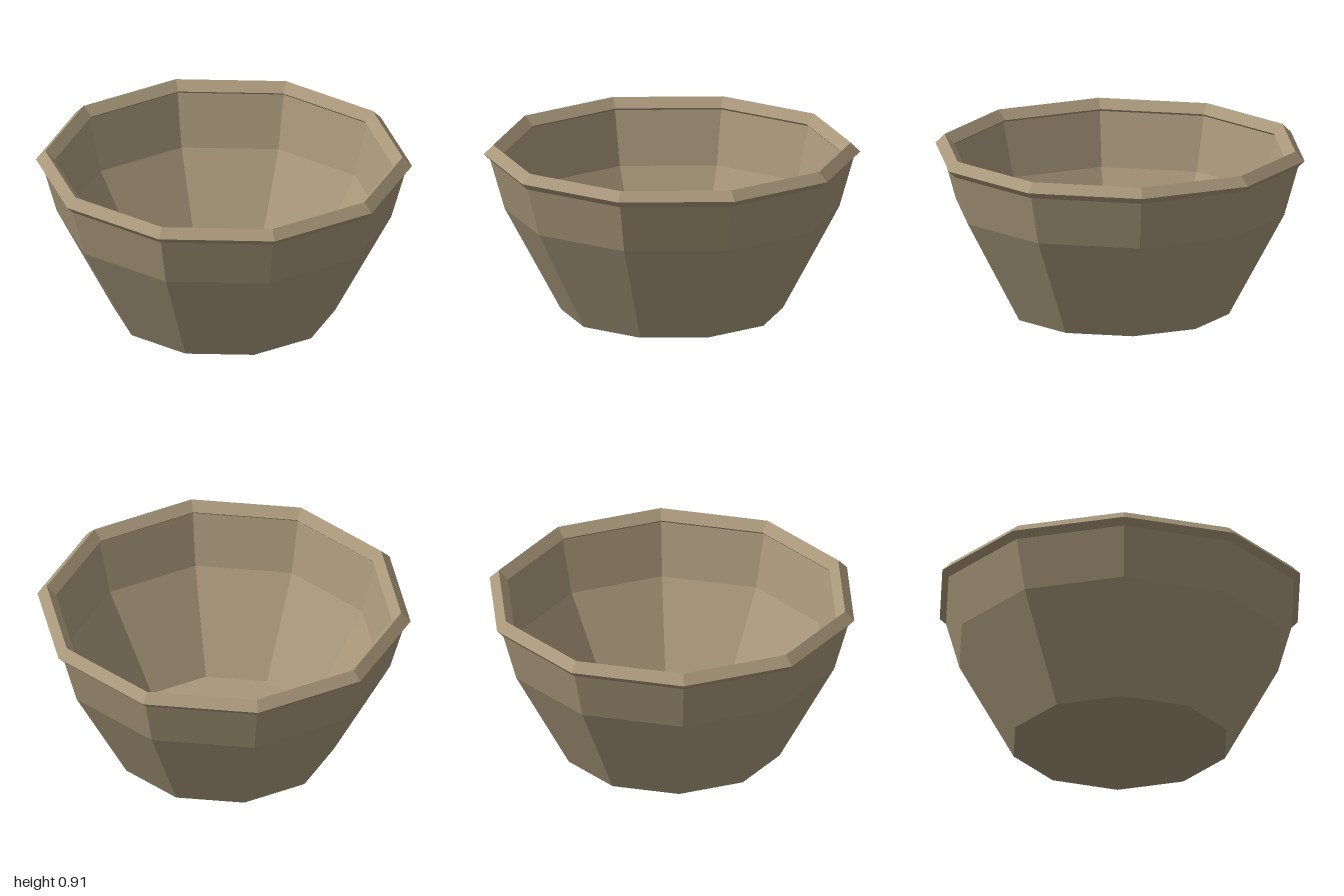
import * as THREE from 'three';

const SIDES = 10;

export function createModel() {
  const group = new THREE.Group();
  group.name = 'bowl';

  const clay = new THREE.MeshStandardMaterial({ color: 0xa8977a, flatShading: true });
  clay.name = 'clay';

  // Hollow wall: up the outside, over the lip, down the inside to the floor
  const profile = [
    [0, 0], [0.59, 0], [0.89, 0.56], [0.975, 0.86],
    [0.915, 0.86], [0.835, 0.56], [0.53, 0.05], [0, 0.05],
  ].map(([r, y]) => new THREE.Vector2(r, y));
  const body = new THREE.Mesh(
    new THREE.LatheGeometry(profile, SIDES, Math.PI / 2).toNonIndexed(), clay);
  body.geometry.computeVertexNormals();
  body.name = 'body';
  group.add(body);

  // Diamond-section rim around the lip
  const rimGeometry = new THREE.TorusGeometry(0.95, 0.05, 4, SIDES)
    .rotateX(Math.PI / 2).toNonIndexed();
  rimGeometry.computeVertexNormals();
  const rim = new THREE.Mesh(rimGeometry, clay);
  rim.position.y = 0.86;
  rim.name = 'rim';
  group.add(rim);

  return group;
}
